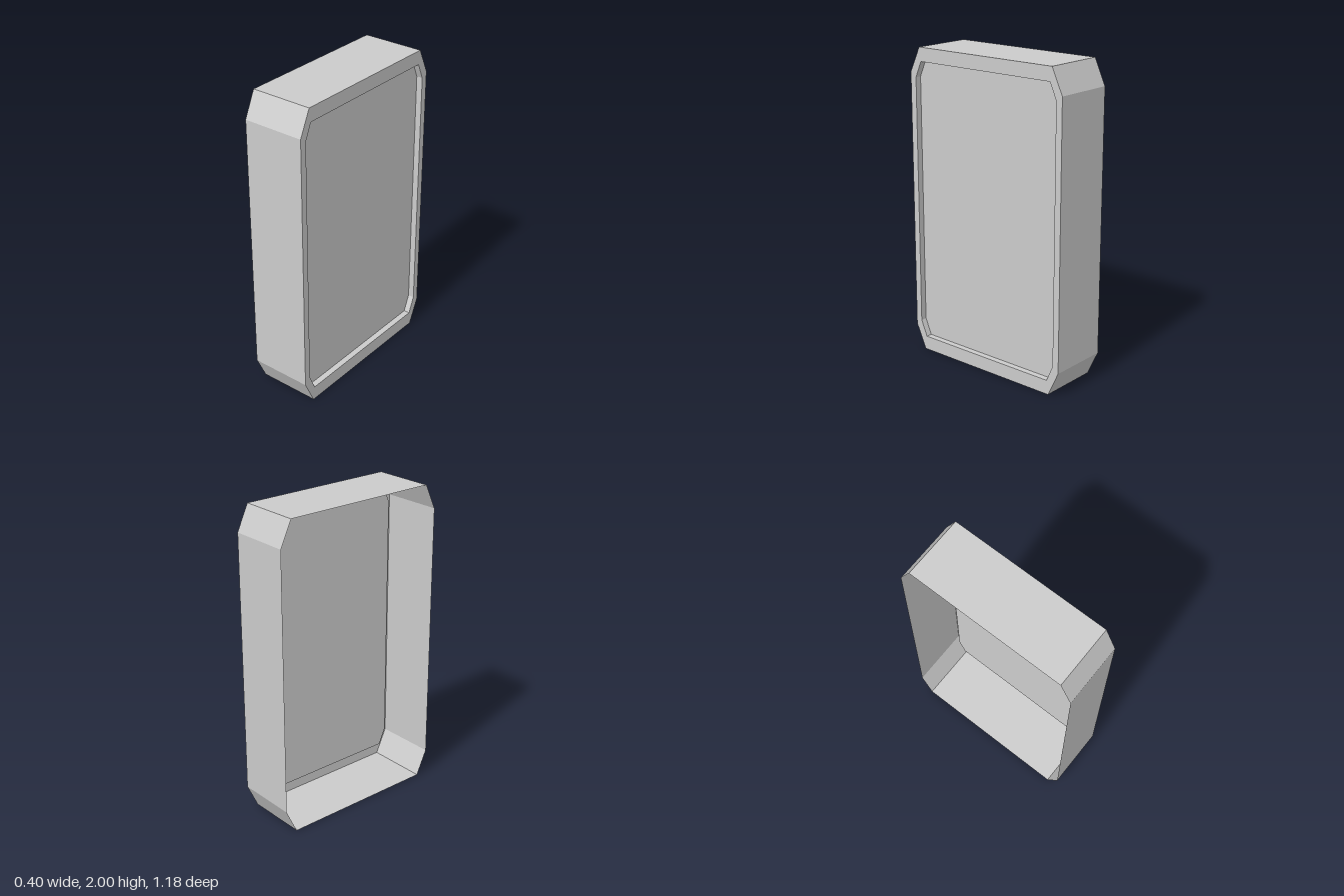
import * as THREE from 'three';

const material = new THREE.MeshStandardMaterial({
  color: 0xcccccc, flatShading: true, side: THREE.DoubleSide,
});

// Chamfered rectangle in the z-y plane, counter-clockwise as seen from +x
function outline(halfZ, flatZ, bottom, cornerBottom, cornerTop, top) {
  const half = [[-flatZ, bottom], [-halfZ, cornerBottom], [-halfZ, cornerTop], [-flatZ, top]];
  const mirrored = half.map(([z, y]) => [-z, y]).reverse();
  return [...half, ...mirrored].map(([z, y]) => new THREE.Vector2(z, y)).reverse();
}

// Band of flat quads joining one outline at x0 to another at x1
function band(name, loopA, x0, loopB, x1) {
  const positions = [];
  const n = loopA.length;
  for (let i = 0; i < n; i++) {
    const j = (i + 1) % n;
    const a = [x0, loopA[i].y, loopA[i].x];
    const b = [x0, loopA[j].y, loopA[j].x];
    const c = [x1, loopB[j].y, loopB[j].x];
    const d = [x1, loopB[i].y, loopB[i].x];
    positions.push(...a, ...c, ...b, ...a, ...d, ...c);
  }
  const geometry = new THREE.BufferGeometry();
  geometry.setAttribute('position', new THREE.Float32BufferAttribute(positions, 3));
  geometry.computeVertexNormals();
  const mesh = new THREE.Mesh(geometry, material);
  mesh.name = name;
  return mesh;
}

export function createModel() {
  const group = new THREE.Group();
  group.name = 'recessedPanelShell';

  const outer = outline(0.592, 0.517, 0, 0.16, 1.84, 2);
  const inner = outline(0.549, 0.504, 0.091, 0.195, 1.81, 1.912);
  const side = 0.2, recess = 0.16;

  // Outer walls, open on the -x side
  group.add(band('outerWalls', outer, -side, outer, side));
  // Flat rim around the panel, then the step down into the recess
  group.add(band('rim', outer, side, inner, side));
  group.add(band('recessWalls', inner, side, inner, recess));

  // Recessed panel, turned to face +x
  const panelGeometry = new THREE.ShapeGeometry(
    new THREE.Shape(inner.map((p) => new THREE.Vector2(-p.x, p.y))));
  panelGeometry.rotateY(Math.PI / 2);
  const panel = new THREE.Mesh(panelGeometry, material);
  panel.name = 'panel';
  panel.position.x = recess;
  group.add(panel);

  return group;
}
